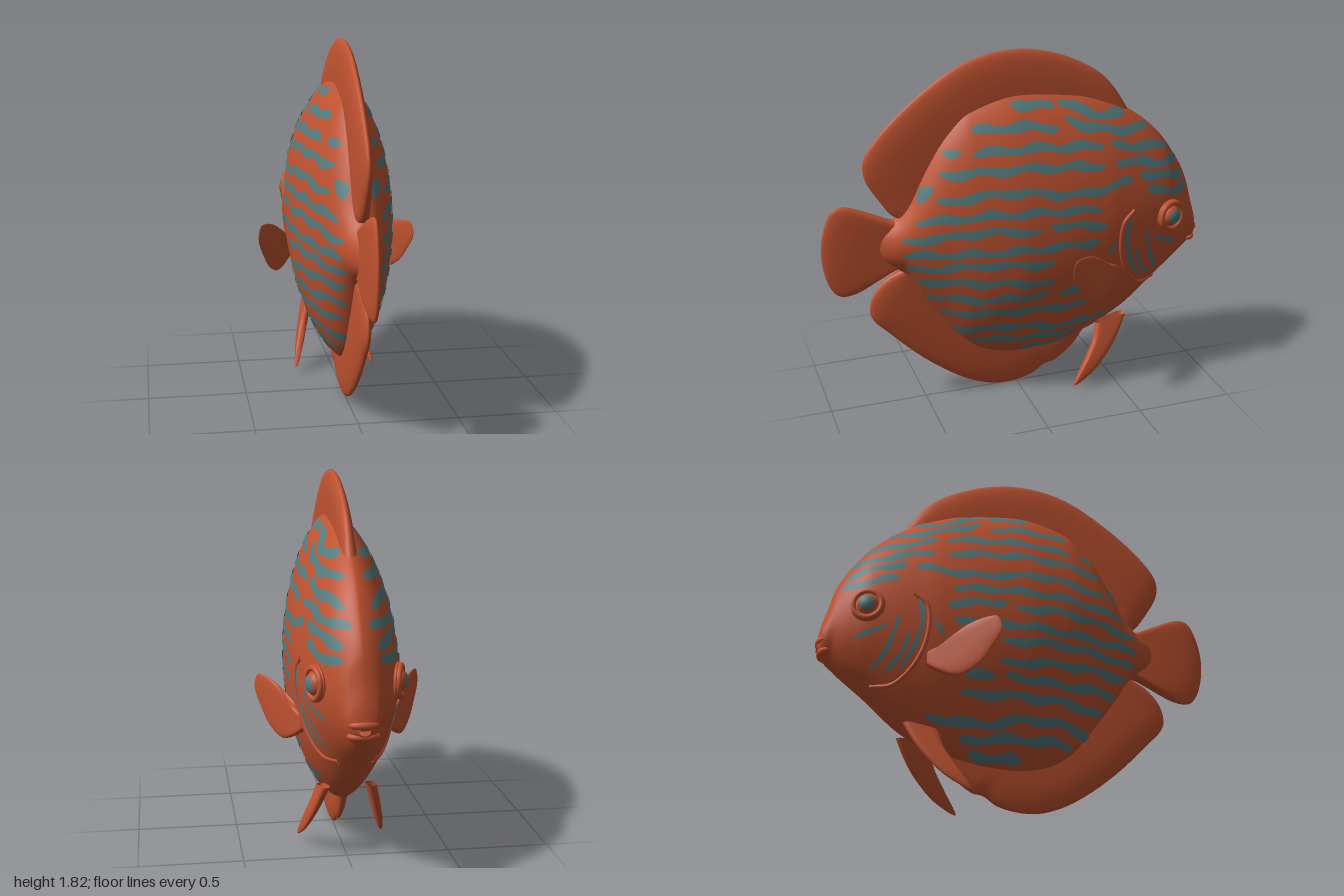
import * as THREE from 'three';
import { ParametricGeometry } from 'three/addons/geometries/ParametricGeometry.js';

const orange = new THREE.MeshStandardMaterial({ color: 0xbf5230, side: THREE.DoubleSide });
orange.name = 'orange skin';
const teal = new THREE.MeshStandardMaterial({ color: 0x547a7c, side: THREE.DoubleSide });
teal.name = 'teal marking';

// Smooth monotone interpolation through [z, value] pairs
function profile(pts) {
  const n = pts.length;
  const slope = i => (pts[i + 1][1] - pts[i][1]) / (pts[i + 1][0] - pts[i][0]);
  const tangent = i => {
    if (i === 0) return slope(0);
    if (i === n - 1) return slope(n - 2);
    const a = slope(i - 1), b = slope(i);
    return a * b <= 0 ? 0 : 2 * a * b / (a + b);
  };
  return z => {
    z = THREE.MathUtils.clamp(z, pts[0][0], pts[n - 1][0]);
    let i = 0;
    while (i < n - 2 && z > pts[i + 1][0]) i++;
    const d = pts[i + 1][0] - pts[i][0], s = (z - pts[i][0]) / d, s2 = s * s, s3 = s2 * s;
    return (2 * s3 - 3 * s2 + 1) * pts[i][1] + (s3 - 2 * s2 + s) * d * tangent(i)
      + (3 * s2 - 2 * s3) * pts[i + 1][1] + (s3 - s2) * d * tangent(i + 1);
  };
}

// Body limits along z: back, belly and half width
const Z0 = -0.992, Z1 = 0.72;
const back = profile([[-0.992, 0.775], [-0.985, 0.84], [-0.95, 0.97], [-0.917, 1.09], [-0.85, 1.21], [-0.75, 1.34],
  [-0.6, 1.46], [-0.45, 1.54], [-0.29, 1.59], [0, 1.62], [0.25, 1.56], [0.38, 1.44], [0.48, 1.28], [0.57, 1.1], [0.63, 1.02], [0.72, 0.96]]);
const belly = profile([[-0.992, 0.74], [-0.975, 0.71], [-0.9, 0.635], [-0.77, 0.53], [-0.56, 0.35], [-0.34, 0.24], [-0.15, 0.195],
  [0, 0.185], [0.15, 0.21], [0.27, 0.28], [0.41, 0.45], [0.51, 0.59], [0.61, 0.74], [0.72, 0.8]]);
const width = profile([[-0.992, 0.025], [-0.97, 0.07], [-0.92, 0.1], [-0.85, 0.145], [-0.77, 0.185], [-0.68, 0.207], [-0.55, 0.23],
  [-0.4, 0.25], [-0.2, 0.257], [0, 0.25], [0.2, 0.22], [0.4, 0.167], [0.55, 0.118], [0.63, 0.085], [0.72, 0.03]]);

// Point on the left flank, lifted along the surface normal
function flankX(z, y) {
  const t = (2 * y - back(z) - belly(z)) / (back(z) - belly(z));
  return width(z) * Math.pow(Math.max(1 - t * t, 0.001), 0.65);
}
function flank(z, y, lift = 0) {
  const h = (back(z) - belly(z)) / 2, c = belly(z) + h, e = 0.004;
  y = THREE.MathUtils.clamp(y, c - h * 0.975, c + h * 0.975);
  const normal = new THREE.Vector3(1,
    -(flankX(z, y + e) - flankX(z, y - e)) / (2 * e),
    -(flankX(z + e, y) - flankX(z - e, y)) / (2 * e)).normalize();
  return { normal, point: new THREE.Vector3(flankX(z, y), y, z).addScaledVector(normal, lift) };
}

function mesh(name, geometry, material, parent) {
  const m = new THREE.Mesh(geometry, material);
  m.name = name;
  parent.add(m);
  return m;
}

function bodyGeometry() {
  return new ParametricGeometry((u, v, p) => {
    const a = u * Math.PI * 2, z = Z0 + (Z1 - Z0) * (1 - Math.cos(v * Math.PI)) / 2;
    const h = (back(z) - belly(z)) / 2, co = Math.cos(a);
    p.set(width(z) * Math.sign(co) * Math.pow(Math.abs(co), 1.3), belly(z) + h + h * Math.sin(a), z);
  }, 96, 110);
}

// Puffy fin between an inner root line and an outer rim, both as [z, y]; spread gives its x
function finGeometry(rim, root, thickness, spread = () => 0) {
  const line = pts => new THREE.CatmullRomCurve3(pts.map(([z, y]) => new THREE.Vector3(0, y, z)), false, 'centripetal');
  const outer = line(rim), inner = line(root);
  return new ParametricGeometry((u, v, p) => {
    const a = (u - 0.5) * Math.PI;
    const r = Math.pow(Math.max(Math.cos(a), 0), 0.6);
    p.copy(inner.getPoint(v)).lerp(outer.getPoint(v), r);
    p.x = spread(p.z, p.y) + thickness * Math.sin(a);
  }, 20, 70);
}

// Thin painted ribbon that follows the flank
function stripeGeometry(pts, half, wave, phase) {
  const curve = new THREE.CatmullRomCurve3(pts.map(([z, y]) => new THREE.Vector3(0, y, z)));
  const length = curve.getLength(), steps = Math.max(10, Math.ceil(length * 70)), across = 4;
  const pos = [], nor = [], idx = [];
  for (let i = 0; i <= steps; i++) {
    const s = i / steps, c = curve.getPointAt(s), t = curve.getTangentAt(s);
    const end = Math.min(s, 1 - s) * length;
    const taper = Math.sqrt(Math.min(1, end / 0.05));
    const w = half * taper * (1 + 0.2 * Math.sin(s * length * 31 + phase * 2));
    const shift = wave * Math.sin(s * length * 27 + phase);
    for (let j = 0; j <= across; j++) {
      const o = shift + w * (2 * j / across - 1);
      const f = flank(c.z - t.y * o, c.y + t.z * o, 0.005);
      pos.push(...f.point.toArray());
      nor.push(...f.normal.toArray());
      if (i < steps && j < across) {
        const a = i * (across + 1) + j, b = a + across + 1;
        // corners ordered so the face looks outward
        idx.push(a, a + 1, b, a + 1, b + 1, b);
      }
    }
  }
  const g = new THREE.BufferGeometry();
  g.setAttribute('position', new THREE.Float32BufferAttribute(pos, 3));
  g.setAttribute('normal', new THREE.Float32BufferAttribute(nor, 3));
  g.setIndex(idx);
  return g;
}

// Stripe centre lines as [z, y] points
const upperStripes = [
  [[0.06, 1.57], [-0.17, 1.54]], [[-0.18, 1.565], [-0.36, 1.49], [-0.55, 1.455]],
  [[0.26, 1.46], [0.05, 1.47], [-0.17, 1.45]], [[-0.2, 1.49], [-0.38, 1.42], [-0.68, 1.375]],
  [[0.4, 1.36], [0.31, 1.37]], [[0.27, 1.36], [0, 1.37], [-0.4, 1.345]], [[-0.43, 1.34], [-0.79, 1.27]],
  [[0.43, 1.26], [0.05, 1.28], [-0.4, 1.25]], [[-0.45, 1.26], [-0.85, 1.185]],
  [[0.53, 1.12], [0.45, 1.2]], [[0.45, 1.13], [0.1, 1.17], [-0.25, 1.13], [-0.55, 1.16]],
  [[-0.58, 1.18], [-0.88, 1.11]], [[0.55, 1.03], [0.25, 1.06], [-0.05, 1.06], [-0.37, 1.04]], [[-0.62, 1.09], [-0.9, 1.04]]
];
const lowerStripes = [
  [[0.62, 0.93], [0.2, 0.98], [-0.06, 0.96]], [[-0.09, 0.99], [-0.4, 0.95]],
  [[0.62, 0.86], [0.15, 0.87], [-0.36, 0.87]], [[0.6, 0.78], [0.2, 0.8], [-0.13, 0.78]],
  [[0.56, 0.71], [0.2, 0.7], [-0.13, 0.67]], [[0.5, 0.62], [0.2, 0.6], [-0.1, 0.61]], [[-0.14, 0.6], [-0.3, 0.6]],
  [[0.43, 0.51], [0.1, 0.52], [-0.32, 0.51]], [[0.38, 0.4], [0.05, 0.42], [-0.2, 0.38], [-0.47, 0.41]],
  [[0.28, 0.33], [0.05, 0.33], [-0.3, 0.31]], [[0.02, 0.235], [-0.25, 0.255]]
];
const faceStripes = [
  [[-0.53, 0.98], [-0.51, 0.83], [-0.6, 0.61]], [[-0.62, 0.89], [-0.66, 0.73], [-0.74, 0.61]],
  [[-0.66, 0.84], [-0.74, 0.8], [-0.83, 0.77]], [[-0.45, 0.86], [-0.4, 0.78]], [[-0.56, 0.8], [-0.6, 0.7], [-0.67, 0.6]]
];

// Everything that appears once on each flank
function buildSide(name) {
  const side = new THREE.Group();
  side.name = name;

  upperStripes.concat(lowerStripes).forEach((pts, i) =>
    mesh('bodyStripe', stripeGeometry(pts, 0.021, 0.008, i * 1.7), teal, side));
  faceStripes.forEach((pts, i) => mesh('faceStripe', stripeGeometry(pts, 0.011, 0.003, i), teal, side));

  // Gill cover rim
  const rim = [[-0.55, 1.0], [-0.49, 0.94], [-0.48, 0.8], [-0.53, 0.65], [-0.63, 0.55], [-0.73, 0.55]];
  mesh('gillCover', new THREE.TubeGeometry(
    new THREE.CatmullRomCurve3(rim.map(([z, y]) => flank(z, y, -0.002).point)), 50, 0.012, 8), orange, side);

  // Eye: socket, raised ring, ball and coloured centre
  const eye = new THREE.Group(), seat = flank(-0.77, 0.93);
  eye.name = 'eye';
  eye.position.copy(seat.point);
  eye.quaternion.setFromUnitVectors(new THREE.Vector3(0, 0, 1), seat.normal);
  mesh('eyeSocket', new THREE.SphereGeometry(0.085, 32, 16), orange, eye).scale.z = 0.25;
  mesh('eyeRing', new THREE.TorusGeometry(0.07, 0.014, 10, 36), orange, eye).position.z = 0.012;
  mesh('eyeBall', new THREE.SphereGeometry(0.056, 28, 16), orange, eye).scale.z = 0.8;
  const iris = mesh('iris', new THREE.SphereGeometry(0.06, 24, 8, 0, Math.PI * 2, 0, 0.7), teal, eye);
  iris.rotation.x = Math.PI / 2;
  iris.scale.y = 0.8;
  side.add(eye);

  mesh('pectoralFin', finGeometry(
    [[-0.49, 0.64], [-0.42, 0.59], [-0.34, 0.56], [-0.26, 0.6], [-0.2, 0.68], [-0.155, 0.775], [-0.175, 0.84],
      [-0.21, 0.845], [-0.3, 0.82], [-0.4, 0.74], [-0.49, 0.7]],
    [[-0.48, 0.65], [-0.48, 0.69]], 0.017, z => 0.21 + (z + 0.47) * 0.63), orange, side);
  mesh('pelvicFin', finGeometry(
    [[-0.57, 0.37], [-0.53, 0.29], [-0.47, 0.2], [-0.36, 0.09], [-0.25, 0.035], [-0.3, 0.12], [-0.37, 0.24], [-0.4, 0.34]],
    [[-0.53, 0.37], [-0.44, 0.35]], 0.022, (z, y) => 0.115 + (0.36 - y) * 0.29), orange, side);
  return side;
}

export function createModel() {
  const fish = new THREE.Group();
  fish.name = 'discFish';
  mesh('body', bodyGeometry(), orange, fish);

  // Fins on the centre line
  mesh('dorsalFin', finGeometry(
    [[0.6, 1.02], [0.64, 1.04], [0.7, 1.12], [0.77, 1.25], [0.77, 1.34], [0.68, 1.47], [0.46, 1.66], [0.25, 1.78], [0.03, 1.82],
      [-0.18, 1.79], [-0.4, 1.69], [-0.5, 1.6], [-0.6, 1.45]],
    [[0.52, 0.98], [0.44, 1.2], [0.25, 1.42], [0, 1.5], [-0.28, 1.47], [-0.54, 1.38]], 0.04), orange, fish);
  mesh('analFin', finGeometry(
    [[-0.38, 0.26], [-0.32, 0.17], [-0.21, 0.085], [-0.16, 0.075], [-0.08, 0.025], [0.09, 0.002], [0.25, 0.05], [0.46, 0.19],
      [0.68, 0.4], [0.77, 0.51], [0.76, 0.61], [0.69, 0.7], [0.6, 0.75]],
    [[-0.3, 0.32], [0, 0.3], [0.2, 0.38], [0.38, 0.55], [0.52, 0.76]], 0.034), orange, fish);
  mesh('tailFin', finGeometry(
    [[0.58, 0.76], [0.65, 0.745], [0.76, 0.69], [0.85, 0.645], [0.92, 0.645], [0.97, 0.71], [1, 0.88], [0.97, 1.04], [0.93, 1.105],
      [0.88, 1.115], [0.76, 1.07], [0.65, 1.02], [0.58, 1.01]],
    [[0.58, 0.8], [0.58, 0.97]], 0.034), orange, fish);

  // Lips
  for (const [name, y, z] of [['upperLip', 0.785, -0.958], ['lowerLip', 0.73, -0.948]])
    Object.assign(mesh(name, new THREE.SphereGeometry(1, 24, 14), orange, fish)).scale.set(0.075, 0.028, 0.042),
    fish.children.at(-1).position.set(0, y, z);

  fish.add(buildSide('leftSide'));
  const right = buildSide('rightSide');
  right.scale.x = -1;
  fish.add(right);
  return fish;
}
